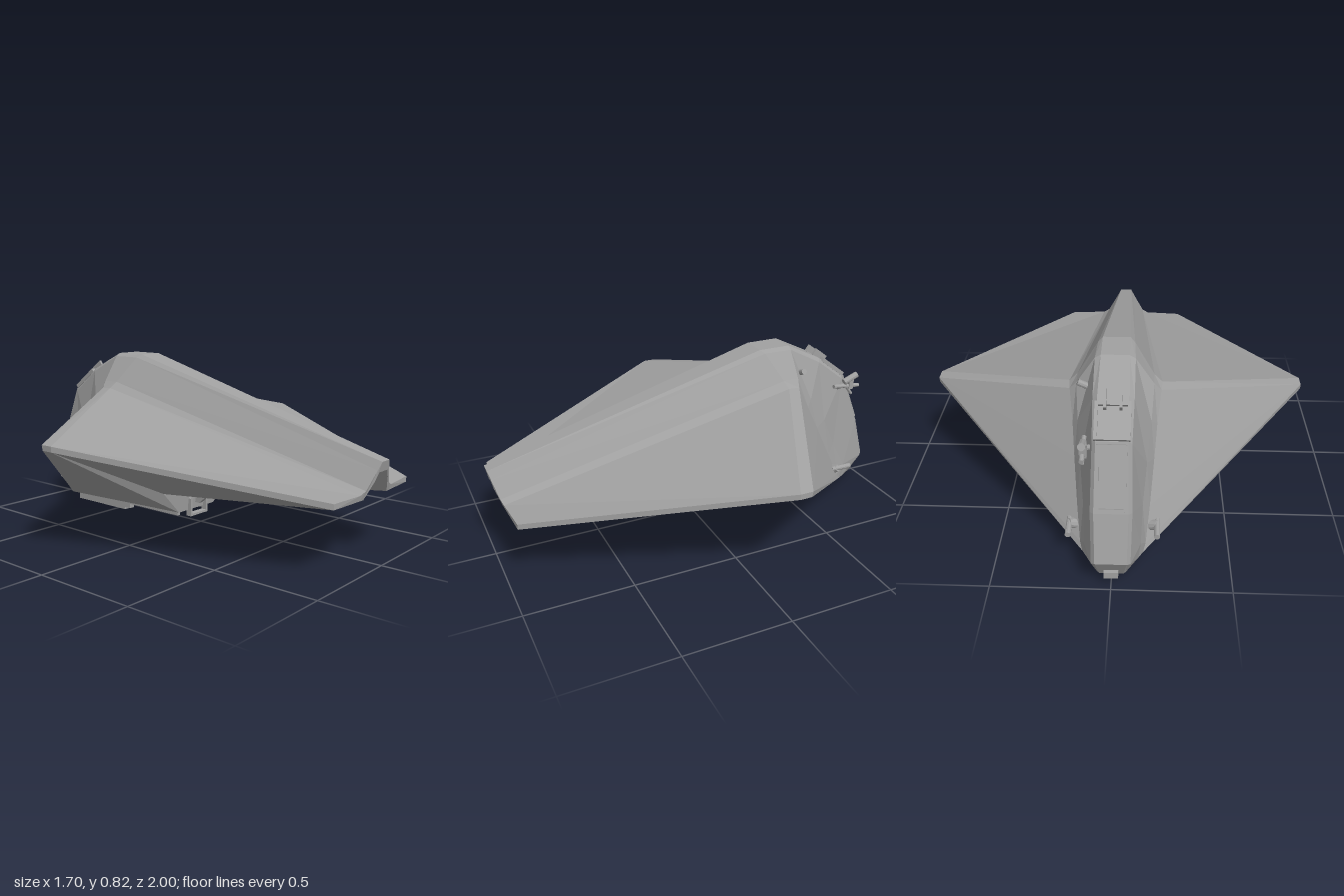
import * as THREE from 'three';

const grey = new THREE.MeshStandardMaterial({ color: 0xa0a0a0 });
grey.name = 'hullGrey';
grey.flatShading = true;

// Mirrored facets: each face is [outward hint, corner, corner, corner, ...]
function facets(name, faces) {
  const pos = [];
  const a = new THREE.Vector3(), b = new THREE.Vector3();
  for (const [hint, ...pts] of faces) {
    for (const s of [1, -1]) {
      const p = pts.map(([x, y, z]) => new THREE.Vector3(x * s, y, z));
      const h = new THREE.Vector3(hint[0] * s, hint[1], hint[2]);
      for (let i = 1; i < p.length - 1; i++) {
        const n = a.subVectors(p[i], p[0]).cross(b.subVectors(p[i + 1], p[0]));
        const tri = n.dot(h) >= 0 ? [p[0], p[i], p[i + 1]] : [p[0], p[i + 1], p[i]];
        tri.forEach(v => pos.push(v.x, v.y, v.z));
      }
    }
  }
  const g = new THREE.BufferGeometry();
  g.setAttribute('position', new THREE.Float32BufferAttribute(pos, 3));
  g.computeVertexNormals();
  const m = new THREE.Mesh(g, grey);
  m.name = name;
  return m;
}

// Quads between two matching rows of points
function strip(hint, r, q) {
  return r.slice(1).map((p, i) => [hint, r[i], p, q[i + 1], q[i]]);
}

function box(parent, name, w, h, d, x, y, z) {
  const m = new THREE.Mesh(new THREE.BoxGeometry(w, h, d), grey);
  m.position.set(x, y, z);
  m.name = name;
  parent.add(m);
  return m;
}

function rod(parent, name, r, from, to, r2 = r) {
  const a = new THREE.Vector3(...from), b = new THREE.Vector3(...to);
  const m = new THREE.Mesh(new THREE.CylinderGeometry(r2, r, a.distanceTo(b), 10), grey);
  m.position.copy(a).add(b).multiplyScalar(0.5);
  m.quaternion.setFromUnitVectors(new THREE.Vector3(0, 1, 0), b.sub(a).normalize());
  m.name = name;
  parent.add(m);
  return m;
}

function tilted(parent, name, y, z, angle) {
  const g = new THREE.Group();
  g.name = name;
  g.position.set(0, y, z);
  g.rotation.x = angle;
  parent.add(g);
  return g;
}

export function createModel() {
  const root = new THREE.Group();
  root.name = 'starship';

  // Half sections of the spine, from the centre line out to the wing root
  const nose = [[0, .455, 1], [.03, .455, 1], [.05, .42, .99], [.1, .34, .968], [.13, .325, .96]];
  const peak = [[0, .825, -.34], [.06, .825, -.34], [.08, .81, -.36], [.165, .69, -.42], [.2, .66, -.43]];
  const stern = [
    [[0, .825, -.5], [.06, .825, -.5], [.085, .81, -.5], [.165, .69, -.5], [.195, .655, -.49]],
    [[0, .735, -.68], [.065, .735, -.68], [.085, .72, -.67], [.155, .56, -.59], [.18, .53, -.56]],
    [[0, .62, -.83], [.065, .62, -.83], [.08, .605, -.82], [.14, .42, -.69], [.17, .4, -.63]],
    [[0, .35, -.94], [.07, .35, -.94], [.085, .345, -.925], [.125, .26, -.77], [.155, .22, -.725]],
    [[0, .14, -1], [.065, .14, -1], [.08, .13, -.985], [.12, .12, -.85], [.14, .08, -.80]],
    [[0, .035, -.94], [.05, .035, -.94], [.06, .035, -.93], [.11, .04, -.85], [.13, .045, -.82]],
  ];
  const up = [.6, 1, 0], back = [.9, .4, -.8], down = [0, -1, 0];

  root.add(facets('spine', [...strip(up, nose, peak), ...strip(up, peak, stern[0])]));
  root.add(facets('sternTower', stern.slice(1).flatMap((s, i) => strip(back, stern[i], s))));

  // Wings
  const wingNose = [.31, .325, .945], wingNoseLow = [.31, .3, .945];
  const tipF = [.85, .5, -.1], tipB = [.85, .5, -.16], tipFLow = [.85, .475, -.1], tipBLow = [.85, .475, -.155];
  const root0 = peak[4], keelF = [.13, .07, -.03], knee = [.25, .19, -.02], keelB = stern[5][4];
  const roots = stern.map(s => s[4]);
  root.add(facets('wings', [
    [[0, 1, 0], nose[4], wingNose, tipF, root0],
    [[0, 1, 0], root0, tipF, tipB, roots[0]],
    ...roots.slice(1).map((r, i) => [[.2, .5, -1], roots[i], r, tipB]),
    [[1, 0, .5], wingNose, wingNoseLow, tipFLow, tipF],
    [[1, 0, 0], tipF, tipFLow, tipBLow, tipB],
    [[.5, -.5, -1], tipB, tipBLow, keelB],
  ]));

  // Nose frame and the channel cut under it
  const arch = [[0, .41, .99], [.035, .41, .99], [.055, .375, .983], [.1, .3, .957], [.13, .3, .955]];
  const inner = [[0, .385, .73], [.035, .385, .73], [.055, .35, .73], [.1, .274, .73]];
  root.add(facets('noseFrame', [
    ...strip([0, 0, 1], nose, arch),
    [[0, 0, 1], nose[4], wingNose, wingNoseLow, arch[4]],
    ...strip([-1, -1, 0], arch.slice(0, 4), inner),
    [[0, 0, 1], ...inner, [0, .274, .73]],
  ]));
  box(root, 'noseHousing', .13, .075, .1, 0, .312, .78);
  for (const s of [1, -1]) box(root, 'noseBracket', .012, .05, .04, s * .06, .275, .79);

  // Belly
  root.add(facets('belly', [
    [down, arch[3], wingNoseLow, knee, inner[3]],
    [down, inner[3], knee, [0, .19, -.02], [0, .274, .73]],
    [[.3, -1, 0], wingNoseLow, tipFLow, knee],
    [[0, 0, 1], knee, tipFLow, keelF],
    [[0, 0, 1], [0, .19, -.02], knee, keelF, [0, .07, -.03]],
    [[.5, -1, 0], keelF, tipFLow, tipBLow, keelB],
    [down, [0, .07, -.03], keelF, keelB, ...stern[5].slice(0, 4).reverse()],
  ]));

  // Stepped machinery along the front belly
  const fore = tilted(root, 'bellyMachinery', .242, .46, -.114);
  [[.06, .2, .18], [.075, .14, .02], [.055, .16, -.14], [.07, .14, -.31]].forEach(([w, d, z], i) =>
    box(fore, 'bellyBlock' + (i + 1), w, .03, d, 0, -.008, z));
  for (const s of [1, -1]) {
    box(fore, 'bellyRail', .014, .024, .5, s * .16, -.006, -.12);
    box(fore, 'bellyPod', .04, .03, .14, s * .13, -.01, -.34);
  }
  // Central wedge ahead of the step
  const fin = new THREE.Shape([[.12, .21], [-.03, .2], [-.03, .1], [0, .1]].map(([z, y]) => new THREE.Vector2(-z, y)));
  const finMesh = new THREE.Mesh(new THREE.ExtrudeGeometry(fin, { depth: .024, bevelEnabled: false }), grey);
  finMesh.rotation.y = Math.PI / 2;
  finMesh.position.x = -.012;
  finMesh.name = 'bellyFin';
  root.add(finMesh);

  // Octagonal intake frame on the step
  const oct = k => [[-.065, .04], [.065, .04], [.065, .13], [.04, .16], [-.04, .16], [-.065, .13]]
    .map(([x, y]) => new THREE.Vector2(x * k, .095 + (y - .095) * k));
  const ring = new THREE.Shape(oct(1));
  ring.holes.push(new THREE.Path(oct(.8)));
  const intake = new THREE.Mesh(new THREE.ExtrudeGeometry(ring, { depth: .03, bevelEnabled: false }), grey);
  intake.position.z = -.04;
  intake.name = 'intakeFrame';
  root.add(intake);

  // Keel skids and crossbars
  for (const s of [1, -1]) {
    box(root, 'keelSkid', .035, .045, .36, s * .075, .025, -.63);
    box(root, 'keelRail', .018, .02, .36, s * .1, .055, -.24);
    box(root, 'keelFoot', .03, .035, .07, s * .085, .035, -.44);
  }
  for (let i = 0; i < 4; i++) box(root, 'keelCrossbar', .13, .025, .035, 0, .045, -.48 - i * .09);

  // Upper stern hatch with two forks
  const hatch = tilted(root, 'upperHatch', .678, -.755, -.65);
  for (const s of [1, -1]) {
    box(hatch, 'hatchSide', .014, .02, .16, s * .066, .004, -.01);
    box(hatch, 'fork', .012, .035, .08, s * .032, .015, .075);
  }
  for (const z of [-.085, .06]) box(hatch, 'hatchBar', .146, .02, .014, 0, .004, z);

  // Lower stern panel with raised border
  const panel = tilted(root, 'sternPanel', .485, -.885, -1.184);
  for (const s of [1, -1]) box(panel, 'panelSide', .012, .014, .27, s * .055, .003, 0);
  for (const z of [-.13, .13]) box(panel, 'panelBar', .11, .014, .012, 0, .003, z);
  box(root, 'sternNotch', .06, .03, .05, 0, .06, -.955);

  // Side guns low on the stern
  for (const s of [1, -1]) {
    rod(root, 'gunMount', .026, [s * .15, .13, -.74], [s * .19, .15, -.765], .02);
    rod(root, 'gunBarrel', .013, [s * .187, .15, -.73], [s * .187, .148, -.84]);
  }

  // Sensor arm and knob on the left flank
  const sensor = new THREE.Group();
  sensor.name = 'sensorArm';
  rod(sensor, 'sensorPost', .012, [.08, .56, -.78], [.115, .585, -.83]);
  rod(sensor, 'sensorBeam', .01, [.115, .585, -.75], [.115, .57, -.9]);
  rod(sensor, 'sensorHead', .016, [.115, .6, -.81], [.115, .63, -.885]);
  rod(sensor, 'sensorStrut', .008, [.115, .57, -.83], [.115, .53, -.86]);
  box(sensor, 'sensorBlock', .03, .06, .025, .112, .59, -.85);
  root.add(sensor);
  rod(root, 'flankKnob', .014, [.1, .69, -.54], [.155, .715, -.54]);

  return root;
}
